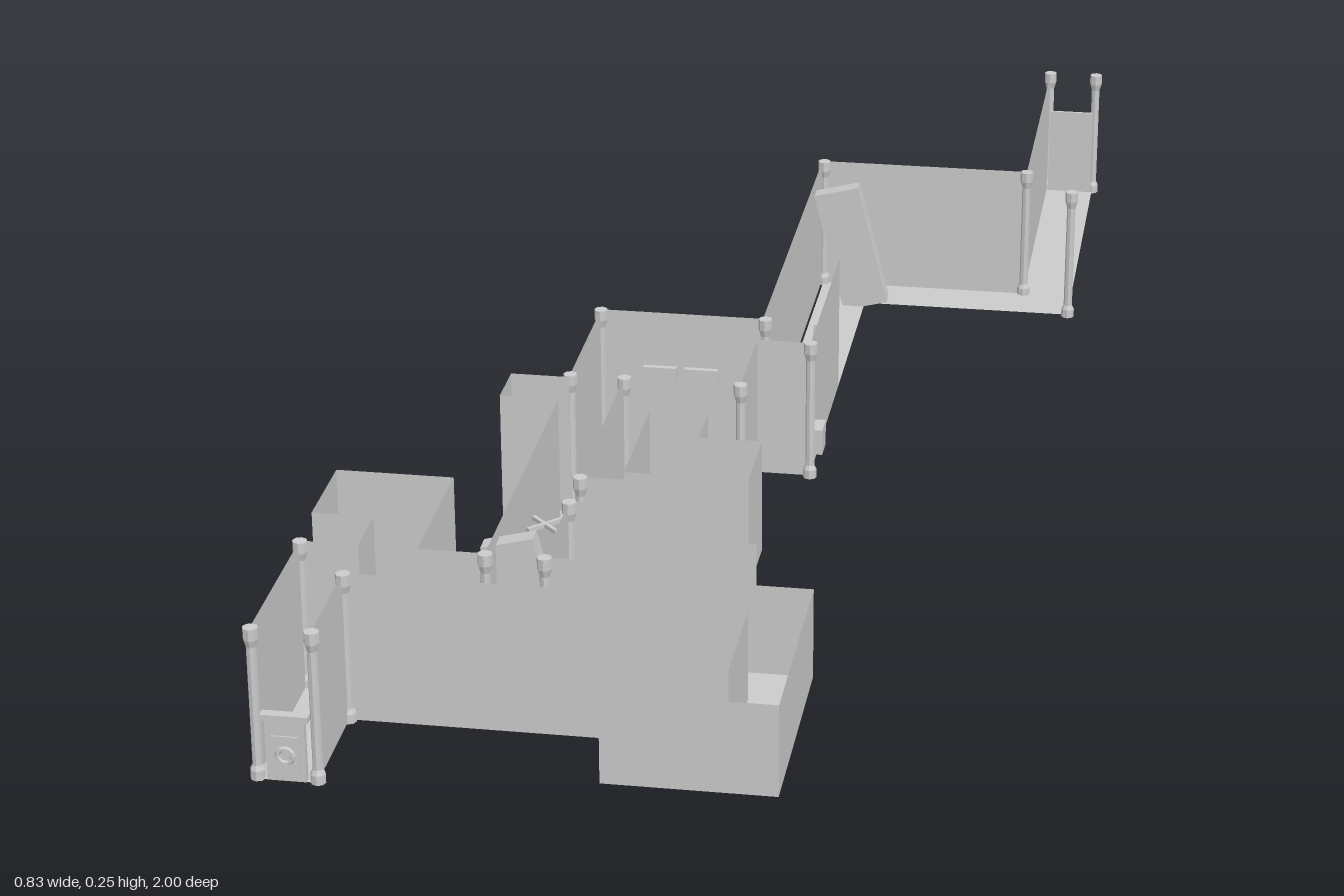
import * as THREE from 'three';

const F = 0.06, T = 0.25; // floor and wall-top heights

export function createModel() {
  const root = new THREE.Group();
  const mat = new THREE.MeshStandardMaterial({ color: 0xcccccc, side: THREE.DoubleSide, flatShading: true });
  const add = (name, geo, x, y, z, parent = root) => {
    const m = new THREE.Mesh(geo, mat);
    m.name = name;
    m.position.set(x, y, z);
    parent.add(m);
    return m;
  };
  const box = (name, w, h, d, x, y, z, parent) => add(name, new THREE.BoxGeometry(w, h, d), x, y, z, parent);

  // Thin floor sheet over a plan rectangle
  const floor = (x0, x1, z0, z1, y = F) =>
    add('floor', new THREE.PlaneGeometry(x1 - x0, z1 - z0).rotateX(-Math.PI / 2), (x0 + x1) / 2, y, (z0 + z1) / 2);

  // Thin upright wall between two plan points
  const wall = (x0, z0, x1, z1, y0 = F, y1 = T) => {
    const m = add('wall', new THREE.PlaneGeometry(Math.hypot(x1 - x0, z1 - z0), y1 - y0),
      (x0 + x1) / 2, (y0 + y1) / 2, (z0 + z1) / 2);
    m.rotation.y = Math.atan2(-(z1 - z0), x1 - x0);
  };
  const path = (pts, y0, y1) => {
    for (let i = 1; i < pts.length; i++) wall(...pts[i - 1], ...pts[i], y0, y1);
  };

  // Floors of the upper corridors, hall and side rooms
  [
    [0.335, 0.405, -1, -0.56], [0.04, 0.405, -0.56, -0.49], [0.04, 0.11, -0.49, 0.105],
    [-0.18, 0.04, 0.035, 0.25], [-0.18, -0.11, 0.25, 0.77], [-0.4, -0.035, 0.77, 0.845],
    [-0.4, -0.33, 0.845, 0.995], [-0.255, -0.18, 0.26, 0.33],
    [-0.405, -0.26, 0.575, 0.695], [-0.33, -0.26, 0.695, 0.77],
    [-0.075, 0, 0.265, 0.45], [0, 0.08, 0.335, 0.45],
  ].forEach(r => floor(...r));

  // Sunken loop floors
  floor(-0.035, 0.175, 0.77, 0.845, 0);
  floor(0.105, 0.175, 0.62, 0.77, 0);
  floor(-0.11, 0.175, 0.55, 0.62, 0);
  wall(-0.11, 0.55, -0.11, 0.62, 0, F);
  wall(-0.035, 0.77, -0.035, 0.845, 0, F);
  for (let i = 0; i < 2; i++) box('stair', 0.02, 0.04 - i * 0.02, 0.075, -0.025 + i * 0.02, 0.02 - i * 0.01, 0.8075);

  // Far corridors, open along the outer side
  path([[0.335, -1], [0.335, -0.56], [0.037, -0.56], [0.037, 0.035], [-0.18, 0.035], [-0.18, 0.26]]);
  path([[0.11, -0.19], [0.11, 0.105], [0.04, 0.105], [0.04, 0.25], [-0.11, 0.25], [-0.11, 0.55]]);

  // Alcove, long corridor and near corridor
  path([[-0.18, 0.26], [-0.255, 0.26], [-0.255, 0.33], [-0.18, 0.33], [-0.18, 0.77], [-0.26, 0.77]]);
  path([[-0.11, 0.62], [-0.11, 0.77]]);
  path([[-0.33, 0.77], [-0.4, 0.77], [-0.4, 0.995]]);
  path([[-0.33, 0.995], [-0.33, 0.845], [-0.035, 0.845]]);

  // Corner room
  path([[-0.26, 0.77], [-0.26, 0.575], [-0.405, 0.575], [-0.405, 0.695], [-0.33, 0.695], [-0.33, 0.77]]);

  // Separate L-shaped room
  path([[-0.075, 0.265], [0, 0.265], [0, 0.335], [0.08, 0.335], [0.08, 0.45], [-0.075, 0.45], [-0.075, 0.265]], F, 0.212);

  // Walls stepping down into the sunken loop
  const steppedWall = (z, end, low) => {
    wall(-0.11, z, -0.035, z, low, T);
    wall(-0.035, z, 0.105, z, 0, 0.175);
    if (end > 0.105) wall(0.105, z, end, z, 0, 0.12);
  };
  steppedWall(0.55, 0.175, 0);
  steppedWall(0.62, 0.105, 0);
  steppedWall(0.77, 0.105, F);
  steppedWall(0.845, 0.175, F);
  wall(0.175, 0.55, 0.175, 0.845, 0, 0.12);
  wall(0.105, 0.62, 0.105, 0.77, 0, 0.12);

  // Corner pillars with base and capital
  const pillarGeo = new THREE.LatheGeometry([[0, 0], [0.009, 0], [0.009, 0.012], [0.006, 0.018],
    [0.006, 0.168], [0.009, 0.178], [0.009, 0.192], [0, 0.192]].map(p => new THREE.Vector2(...p)), 8);
  [
    [0.335, -0.995], [0.405, -0.995], [0.335, -0.56], [0.405, -0.49], [0.04, -0.56], [0.11, 0.105],
    [0.04, 0.035], [-0.18, 0.035], [0.04, 0.25], [-0.18, 0.25], [-0.11, 0.25], [-0.11, 0.55],
    [-0.11, 0.62], [-0.11, 0.77], [-0.18, 0.77], [-0.33, 0.845], [-0.4, 0.77], [-0.4, 0.99], [-0.33, 0.99],
  ].forEach(([x, z]) => add('pillar', pillarGeo, x, 0.058, z));

  // Panelled cabinet with a cornice and a round boss
  const cabinet = (x, z, turn, w, h) => {
    const g = new THREE.Group();
    g.name = 'cabinet';
    box('cabinetBody', w, h, 0.008, 0, h / 2, 0, g);
    box('cabinetCornice', w * 1.2, 0.008, 0.012, 0, h, 0, g);
    box('cabinetPanel', w * 0.7, h * 0.6, 0.012, 0, h * 0.42, 0, g);
    add('cabinetBoss', new THREE.TorusGeometry(w * 0.2, 0.003, 6, 12), 0, h * 0.42, 0.006, g);
    g.position.set(x, F, z);
    g.rotation.y = turn;
    root.add(g);
  };
  cabinet(-0.365, 0.992, 0, 0.046, 0.08);
  cabinet(0.37, -0.992, Math.PI, 0.05, 0.085);
  box('endPanel', 0.066, 0.13, 0.004, 0.37, 0.125, -0.988);
  box('wallBox', 0.014, 0.035, 0.035, 0.117, 0.1, 0.07);
  box('wallBox', 0.014, 0.04, 0.035, -0.407, 0.1, 0.805);
  box('alcovePanel', 0.006, 0.08, 0.04, -0.254, 0.12, 0.295);

  // Doors fallen askew
  [[0.09, -0.488], [-0.145, 0.7]].forEach(([x, z]) => {
    box('fallenDoor', 0.065, 0.18, 0.024, x, 0.148, z).rotation.z = 0.25;
  });

  // Furnishings
  [-0.1, -0.045].forEach(x => box('wallPlaque', 0.045, 0.05, 0.008, x, 0.15, 0.042));
  box('crate', 0.05, 0.025, 0.028, -0.075, 0.0725, 0.145).rotation.y = 0.75;
  add('roundTable', new THREE.CylinderGeometry(0.03, 0.03, 0.008, 20), -0.15, 0.066, 0.303);
  box('table', 0.07, 0.04, 0.045, -0.367, 0.08, 0.667);
  [[-0.395, 0.595], [-0.31, 0.586], [-0.27, 0.66]].forEach(([x, z]) => box('stool', 0.018, 0.035, 0.022, x, 0.078, z));
  for (let i = 0; i < 2; i++) box('hangingLampArm', 0.05, 0.005, 0.005, -0.147, 0.2, 0.585).rotation.y = Math.PI * (0.25 + i / 2);
  box('wallRail', 0.006, 0.025, 0.06, 0.042, 0.13, -0.045);
  box('smallLamp', 0.02, 0.03, 0.006, 0.08, 0.12, -0.225);
  return root;
}
